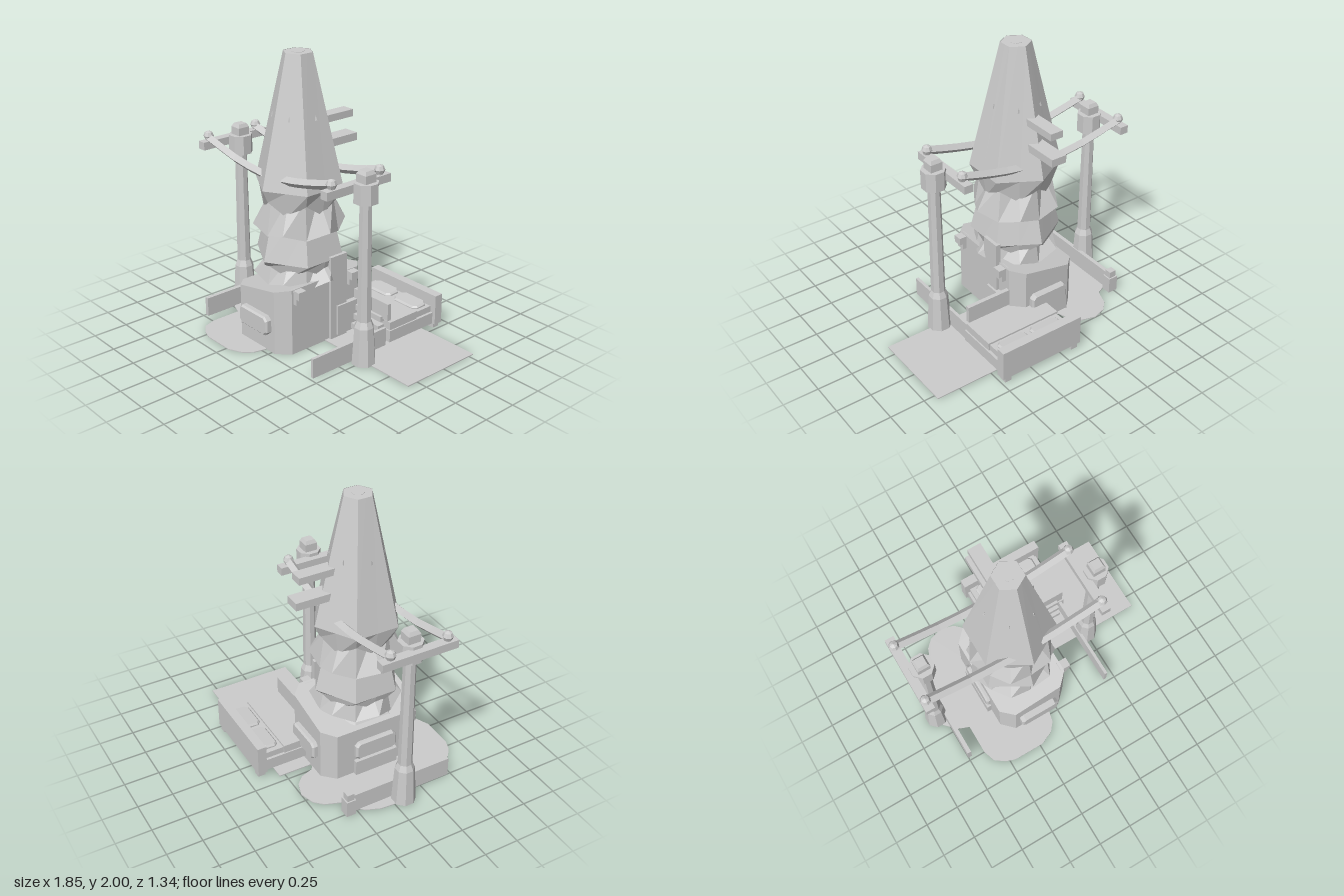
import * as THREE from 'three';

const mat = new THREE.MeshStandardMaterial({ color: 0xcccccc, flatShading: true, side: THREE.DoubleSide });
const CX = -0.155, CZ = 0.084; // tower axis

export function createModel() {
  const model = new THREE.Group();

  const add = (name, geo, x = 0, y = 0, z = 0) => {
    const m = new THREE.Mesh(geo, mat);
    m.name = name;
    m.position.set(x, y, z);
    model.add(m);
    return m;
  };
  // box given by its limits on each axis
  const box = (name, x0, x1, y0, y1, z0, z1) =>
    add(name, new THREE.BoxGeometry(x1 - x0, y1 - y0, z1 - z0), (x0 + x1) / 2, (y0 + y1) / 2, (z0 + z1) / 2);

  // twelve-point rings, bottom to top: [corner radius, corner y, mid-face radius, mid-face y]
  const hexLoft = (rows) => {
    const pos = [], idx = [];
    rows.forEach(([rc, yc, rm, ym], j) => {
      for (let i = 0; i < 12; i++) {
        const a = i * Math.PI / 6, r = i % 2 ? rm : rc;
        pos.push(r * Math.sin(a), i % 2 ? ym : yc, r * Math.cos(a));
        if (j < rows.length - 1) {
          const p = j * 12 + i, q = j * 12 + (i + 1) % 12;
          idx.push(p, q, q + 12, p, q + 12, p + 12);
        }
      }
    });
    const g = new THREE.BufferGeometry();
    g.setAttribute('position', new THREE.Float32BufferAttribute(pos, 3));
    g.setIndex(idx);
    const flat = g.toNonIndexed();
    flat.computeVertexNormals();
    return flat;
  };

  // flat outline in the x-z plane, extruded upwards
  const slab = (points, h) => {
    const s = new THREE.Shape(points.map(([x, z]) => new THREE.Vector2(x, -z)));
    return new THREE.ExtrudeGeometry(s, { depth: h, bevelEnabled: false }).rotateX(-Math.PI / 2);
  };

  // bevelled rectangular plate facing +z
  const plate = (w, h, d) => {
    const b = 0.012, x = w / 2 - b, y = h / 2 - b, c = 0.02;
    const s = new THREE.Shape([[-x + c, -y], [x - c, -y], [x, -y + c], [x, y - c], [x - c, y], [-x + c, y], [-x, y - c], [-x, -y + c]]
      .map(([u, v]) => new THREE.Vector2(u, v)));
    return new THREE.ExtrudeGeometry(s, { depth: d - b, bevelEnabled: true, bevelSize: b, bevelThickness: b, bevelSegments: 1 });
  };

  // Tower: two hexagonal shells with toothed rims and a flared skirt under each
  add('upperTower', hexLoft([[0.27, 1.02, 0.24, 0.93], [0.313, 1.11, 0.271, 1.11], [0.103, 2, 0.09, 2]]), CX, 0, CZ);
  add('upperSkirt', hexLoft([[0.28, 0.78, 0.32, 0.825], [0.24, 1.05, 0.2, 1.05]]), CX, 0, CZ);
  add('lowerTower', hexLoft([[0.27, 0.56, 0.24, 0.49], [0.313, 0.6, 0.271, 0.6], [0.25, 0.86, 0.217, 0.86]]), CX, 0, CZ);
  add('lowerSkirt', hexLoft([[0.28, 0.42, 0.32, 0.475], [0.24, 0.62, 0.2, 0.62]]), CX, 0, CZ);
  add('core', new THREE.CylinderGeometry(0.2, 0.2, 0.8, 6), CX, 0.7, CZ);
  add('towerTop', new THREE.CylinderGeometry(0.103, 0.103, 0.004, 6), CX, 1.996, CZ);
  add('towerVent', new THREE.CylinderGeometry(0.042, 0.042, 0.006, 6).rotateY(Math.PI / 6), CX, 1.997, CZ);
  for (let i = 0; i < 6; i++) {
    const a = (i + 0.5) * Math.PI / 3;
    add('stud', new THREE.ConeGeometry(0.012, 0.035, 3), CX + 0.174 * Math.sin(a), 1.59, CZ + 0.174 * Math.cos(a));
  }
  box('upperShelf', -0.2, -0.105, 1.485, 1.535, -0.36, 0.05);
  box('lowerShelf', -0.21, -0.095, 1.31, 1.365, -0.39, 0.05);

  // Base: chamfered block whose roof slopes down towards -x
  const bx = 0.268, bz = 0.38, c = 0.085;
  const baseGeo = slab([[-bx + c, bz], [bx - c, bz], [bx, bz - c], [bx, -bz + c], [bx - c, -bz], [-bx + c, -bz], [-bx, -bz + c], [-bx, bz - c]], 0.4);
  const bp = baseGeo.attributes.position;
  for (let i = 0; i < bp.count; i++) if (bp.getY(i) > 0.2) bp.setY(i, 0.425 + 0.2 * bp.getX(i));
  baseGeo.computeVertexNormals();
  add('base', baseGeo, CX, 0, CZ);
  add('roofMound', new THREE.CylinderGeometry(0.2, 0.27, 0.09, 6), CX, 0.43, CZ);

  // Plates on the front, back and -x side of the base
  add('frontPlate', plate(0.3, 0.14, 0.045), CX, 0.2, CZ + bz);
  add('backPlate', plate(0.3, 0.14, 0.04), CX, 0.2, CZ - bz).rotation.y = Math.PI;
  add('sidePlate', plate(0.32, 0.14, 0.03), CX - bx, 0.2, CZ).rotation.y = -Math.PI / 2;
  box('sidePlinth', -0.455, -0.42, 0, 0.12, -0.08, 0.25);

  // Entrance on the +x side
  box('doorSlab', 0.1, 0.135, 0, 0.625, -0.095, 0.05);
  box('doorStep', 0.1, 0.15, 0.03, 0.25, -0.18, 0.0);
  for (const z of [-0.145, 0.333]) {
    box('sideBlock', 0.09, 0.17, 0.42, 0.475, z - 0.033, z + 0.033);
    box('sideBlockFoot', 0.09, 0.145, 0.375, 0.42, z - 0.033, z + 0.033);
  }

  // Bed behind the tower
  box('bedFrame', -0.13, 0.47, 0.035, 0.12, -0.62, -0.19);
  box('mattress', -0.11, 0.45, 0.12, 0.165, -0.61, -0.21);
  box('blanket', -0.12, 0.46, 0.12, 0.178, -0.46, -0.2);
  box('headboard', -0.15, 0.495, 0.035, 0.255, -0.675, -0.61);
  for (const x of [-0.13, 0.425]) box('bedLeg', x, x + 0.05, 0, 0.04, -0.67, -0.615);
  for (const x of [0.04, 0.307]) {
    const pillow = add('pillow', plate(0.23, 0.13, 0.035).rotateX(-Math.PI / 2), x, 0.152, -0.545);
    pillow.rotation.x = 0.08;
  }
  box('footboard', 0.08, 0.45, 0.19, 0.315, -0.215, -0.185);
  for (let i = 0; i < 3; i++) box('footSlat', 0.1, 0.4, 0.04 + i * 0.065, 0.08 + i * 0.065, -0.2, -0.165 + (2 - i) * 0.02);

  // Ground patches
  box('groundSheet', -0.2, 0.92, 0, 0.007, -0.54, 0.085);
  add('groundPatch', slab([[-0.64, -0.3], [-0.6, -0.41], [-0.54, -0.47], [-0.44, -0.5], [-0.34, -0.47], [-0.28, -0.41], [-0.25, -0.32],
    [-0.1, -0.2], [-0.05, 0.1], [-0.06, 0.48], [-0.08, 0.56], [-0.13, 0.62], [-0.23, 0.665], [-0.46, 0.665], [-0.53, 0.64], [-0.6, 0.59],
    [-0.63, 0.5], [-0.63, 0.28], [-0.71, 0.25], [-0.79, 0.17], [-0.83, 0.05], [-0.82, -0.1], [-0.78, -0.2], [-0.71, -0.27]], 0.006));

  // Two posts, each with a crossbar and two arms reaching into the tower
  const eighth = Math.PI / 8;
  for (const [px, path] of [
    [-0.8, [[-0.885, 1.28], [-0.56, 1.205], [-0.4, 1.185], [-0.25, 1.175]]],
    [0.5, [[0.41, 1.29], [0.26, 1.25], [0.08, 1.21], [-0.05, 1.19]]],
  ]) {
    const post = (name, rt, rb, y0, y1, n = 8) =>
      add(name, new THREE.CylinderGeometry(rt, rb, y1 - y0, n).rotateY(n === 8 ? eighth : Math.PI / 4), px, (y0 + y1) / 2, CZ);
    post('postFoot', 0.068, 0.085, 0, 0.27);
    post('postShoulder', 0.05, 0.068, 0.27, 0.315);
    post('postShaft', 0.043, 0.05, 0.315, 1.15);
    post('postCollar', 0.085, 0.085, 1.15, 1.285);
    post('postCap', 0.063, 0.063, 1.285, 1.34, 4);
    post('postCapTop', 0.045, 0.063, 1.34, 1.365, 4);
    const barX = px - 0.088;
    box('crossbar', barX - 0.032, barX + 0.032, 1.205, 1.262, -0.19, 0.36);
    for (const z of [-0.118, 0.296]) {
      add('pin', new THREE.CylinderGeometry(0.022, 0.022, 0.06, 6), barX, 1.265, z);
      add('pinKnob', new THREE.SphereGeometry(0.037, 8, 4), barX, 1.295, z);
      const curve = new THREE.CatmullRomCurve3(path.map(([x, y]) => new THREE.Vector3(x, y, z)));
      add('arm', new THREE.TubeGeometry(curve, 4, 0.032, 4), 0, 0, 0);
    }
  }

  // Low fences beside the posts
  box('fenceRight', -0.752, -0.722, 0, 0.14, -0.27, 0.477);
  box('fencePost', -0.775, -0.702, 0, 0.12, -0.34, -0.27);
  box('fencePostCap', -0.765, -0.712, 0.12, 0.17, -0.33, -0.28);
  box('fenceLeft', 0.42, 0.442, 0, 0.14, -0.18, 0.477);
  return model;
}
